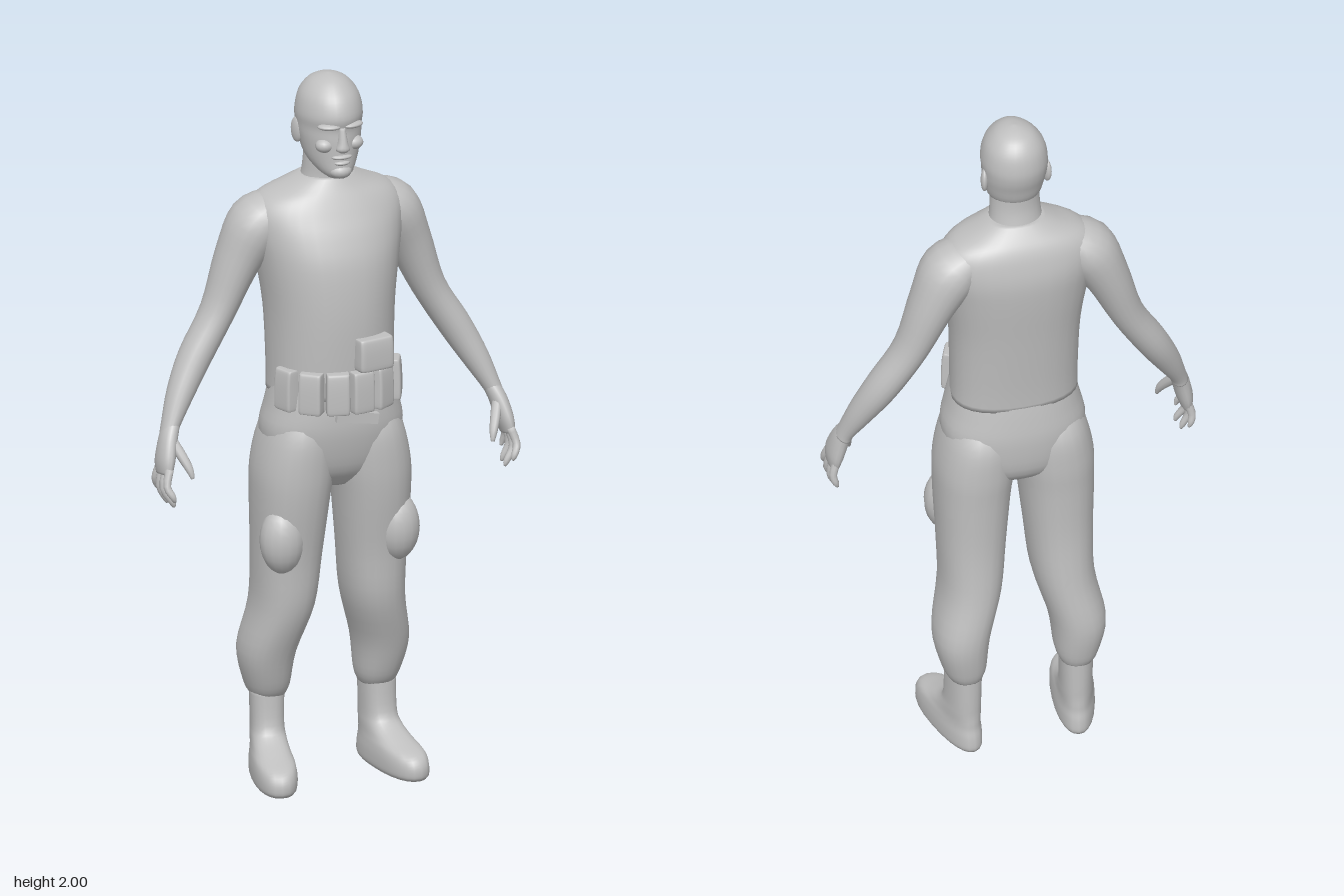
import * as THREE from 'three';

const grey = new THREE.MeshStandardMaterial({ color: 0xc0c0c0 });
grey.name = 'plain grey';

// Smoothly resample rows of numbers
function smoothRows(rows, steps) {
  const out = [];
  const at = i => rows[Math.max(0, Math.min(rows.length - 1, i))];
  for (let i = 0; i < rows.length - 1; i++) {
    for (let s = 0; s < steps; s++) {
      const t = s / steps;
      out.push(rows[i].map((b, k) => {
        const a = at(i - 1)[k], c = at(i + 1)[k], d = at(i + 2)[k];
        return b + 0.5 * t * (c - a + t * (2 * a - 5 * b + 4 * c - d + t * (3 * (b - c) + d - a)));
      }));
    }
  }
  out.push(rows[rows.length - 1]);
  return out;
}

// Closed skin over rings of { c: centre, t: direction, a: side radius, b: depth radius }
function skin(rings, { sides = 24, power = 2, taper = 0 } = {}) {
  const pos = [], idx = [], n = sides;
  const round = s => Math.sign(s) * Math.pow(Math.abs(s), 2 / power);
  for (const { c, t, a, b } of rings) {
    const v = new THREE.Vector3(0, 0, 1).addScaledVector(t, -t.z).normalize();
    const u = t.clone().cross(v);
    for (let j = 0; j < n; j++) {
      const th = (j / n) * Math.PI * 2, s = round(Math.sin(th));
      const p = c.clone().addScaledVector(u, a * round(Math.cos(th)) * (1 - taper * s)).addScaledVector(v, b * s);
      pos.push(p.x, p.y, p.z);
    }
  }
  const last = rings.length - 1;
  for (let i = 0; i < last; i++) {
    for (let j = 0; j < n; j++) {
      const a = i * n + j, b = i * n + (j + 1) % n;
      idx.push(a, a + n, b, b, a + n, b + n);
    }
  }
  const first = rings[0].c, end = rings[last].c, m = rings.length * n;
  pos.push(first.x, first.y, first.z, end.x, end.y, end.z);
  for (let j = 0; j < n; j++) {
    const k = (j + 1) % n;
    idx.push(m, j, k, m + 1, last * n + k, last * n + j);
  }
  const g = new THREE.BufferGeometry();
  g.setAttribute('position', new THREE.Float32BufferAttribute(pos, 3));
  g.setIndex(idx);
  g.computeVertexNormals();
  return g;
}

// Level slices: [y, half width, back z, front z, centre x]
function slices(rows, options) {
  const up = new THREE.Vector3(0, 1, 0);
  return skin(smoothRows(rows, 4).map(([y, w, zb, zf, x = 0]) => ({
    c: new THREE.Vector3(x, y, (zb + zf) / 2), t: up, a: w, b: (zf - zb) / 2,
  })), options);
}

// Limb along a path: [x, y, z, side radius, depth radius], mirrored by side
function limb(rows, side, sides = 16, steps = 4) {
  const r = smoothRows(rows, steps);
  const pts = r.map(p => new THREE.Vector3(p[0] * side, p[1], p[2]));
  return skin(r.map((p, i) => ({
    c: pts[i], a: p[3], b: p[4],
    t: pts[Math.min(i + 1, pts.length - 1)].clone().sub(pts[Math.max(i - 1, 0)]).normalize(),
  })), { sides });
}

export function createModel() {
  const model = new THREE.Group();
  model.name = 'standingMan';
  const add = (name, geometry, parent = model) => {
    const mesh = new THREE.Mesh(geometry, grey);
    mesh.name = name;
    parent.add(mesh);
    return mesh;
  };
  const blob = (name, p, r) => {
    const mesh = add(name, new THREE.SphereGeometry(1, 16, 12));
    mesh.position.set(...p);
    mesh.scale.set(...r);
    return mesh;
  };

  // Torso with sloping shoulders
  add('torso', slices([
    [1.115, 0.172, -0.142, 0.135], [1.2, 0.172, -0.148, 0.142], [1.35, 0.177, -0.163, 0.146],
    [1.48, 0.195, -0.178, 0.135], [1.56, 0.21, -0.182, 0.11], [1.62, 0.213, -0.172, 0.08],
    [1.66, 0.185, -0.157, 0.058], [1.69, 0.12, -0.135, 0.04], [1.715, 0.07, -0.11, 0.025],
  ], { sides: 32, power: 2.3, taper: 0.12 }));

  // Neck and head
  add('neck', slices([
    [1.64, 0.09, -0.13, 0.03], [1.71, 0.073, -0.11, 0.022], [1.76, 0.068, -0.1, 0.025], [1.82, 0.065, -0.1, 0.03],
  ]));
  add('head', slices([
    [1.728, 0.028, 0.015, 0.07], [1.745, 0.05, -0.04, 0.081], [1.78, 0.072, -0.095, 0.08],
    [1.83, 0.084, -0.115, 0.08], [1.865, 0.088, -0.126, 0.079], [1.9, 0.09, -0.129, 0.086],
    [1.945, 0.08, -0.12, 0.07], [1.978, 0.056, -0.097, 0.038], [1.994, 0.028, -0.066, 0.008], [2.0, 0.004, -0.035, -0.027],
  ], { sides: 28, taper: 0.1 }));

  // Face
  add('nose', slices([
    [1.805, 0.009, 0.06, 0.088], [1.815, 0.02, 0.06, 0.1], [1.835, 0.014, 0.06, 0.097], [1.875, 0.009, 0.06, 0.084],
  ], { sides: 12 }));
  blob('chin', [0, 1.748, 0.06], [0.032, 0.022, 0.028]);
  blob('upperLip', [0, 1.791, 0.07], [0.03, 0.008, 0.018]);
  blob('lowerLip', [0, 1.774, 0.069], [0.024, 0.008, 0.018]);
  for (const s of [1, -1]) {
    blob('brow', [s * 0.034, 1.878, 0.066], [0.032, 0.009, 0.02]).rotation.y = s * 0.35;
    blob('cheek', [s * 0.042, 1.822, 0.052], [0.026, 0.02, 0.024]);
    blob('ear', [s * 0.086, 1.842, -0.045], [0.011, 0.036, 0.023]).rotation.y = s * -0.3;
  }

  // Hips
  add('hips', slices([
    [0.845, 0.05, -0.09, 0.05], [0.9, 0.165, -0.145, 0.1], [1.0, 0.197, -0.158, 0.128],
    [1.08, 0.183, -0.15, 0.132], [1.16, 0.165, -0.135, 0.125],
  ], { sides: 32, power: 2.3 }));

  for (const s of [1, -1]) {
    // Baggy trouser leg, gathered above the boot
    add('trouserLeg', slices([
      [0.225, 0.045, -0.15, -0.035, 0.155], [0.26, 0.06, -0.163, -0.012, 0.158], [0.36, 0.076, -0.176, 0.022, 0.162],
      [0.5, 0.083, -0.161, 0.068, 0.13], [0.65, 0.092, -0.15, 0.085, 0.122], [0.8, 0.102, -0.153, 0.11, 0.117],
      [0.9, 0.107, -0.158, 0.12, 0.11], [1.0, 0.095, -0.15, 0.118, 0.1], [1.08, 0.07, -0.1, 0.09, 0.09],
    ].map(([y, w, b, f, x]) => [y, w, b, f, x * s]), { power: 2.25 }));
    blob('kneePad', [s * 0.165, 0.71, 0.055], [0.062, 0.095, 0.058]);

    // Boot, toes turned out
    const boot = add('boot', slices([
      [0.003, 0.05, -0.065, 0.24], [0.015, 0.057, -0.071, 0.25], [0.045, 0.058, -0.068, 0.248],
      [0.07, 0.055, -0.062, 0.225], [0.09, 0.05, -0.06, 0.16], [0.115, 0.047, -0.058, 0.1],
      [0.15, 0.045, -0.058, 0.072], [0.25, 0.047, -0.058, 0.063],
    ], { power: 2.3, taper: -0.1 }));
    boot.position.set(s * 0.157, 0, -0.093);
    boot.rotation.y = s * 0.17;

    // Arm down to the wrist
    add('arm', limb([
      [0.13, 1.63, -0.07, 0.045, 0.07], [0.19, 1.58, -0.072, 0.078, 0.09], [0.245, 1.48, -0.078, 0.063, 0.076],
      [0.303, 1.34, -0.075, 0.047, 0.058], [0.375, 1.22, -0.06, 0.045, 0.052], [0.425, 1.13, -0.036, 0.037, 0.042],
      [0.461, 1.055, -0.012, 0.025, 0.032], [0.47, 1.03, -0.005, 0.023, 0.032],
    ], s, 20));

    // Hand with four fingers and a thumb
    const hand = new THREE.Group();
    hand.name = 'hand';
    model.add(hand);
    add('palm', limb([
      [0.457, 1.06, -0.013, 0.022, 0.028], [0.474, 1.02, 0.003, 0.024, 0.037],
      [0.488, 0.965, 0.018, 0.023, 0.048], [0.493, 0.93, 0.025, 0.016, 0.046],
    ], s), hand);
    const tips = [[0.485, 0.868, 0.088], [0.475, 0.842, 0.054], [0.48, 0.843, 0.015], [0.492, 0.873, -0.023]];
    tips.forEach(([x, y, z], i) => {
      const z0 = 0.058 - i * 0.023;
      add('finger', limb([
        [0.49, 0.95, z0, 0.012, 0.012], [0.502, (y + 0.95) / 2, (z0 + z) / 2, 0.011, 0.011],
        [x + 0.006, y + 0.015, z, 0.009, 0.009], [x, y, z, 0.004, 0.004],
      ], s, 10, 3), hand);
    });
    add('thumb', limb([
      [0.468, 1.02, 0.015, 0.014, 0.016], [0.452, 0.985, 0.045, 0.014, 0.015],
      [0.437, 0.95, 0.07, 0.011, 0.011], [0.431, 0.925, 0.08, 0.005, 0.005],
    ], s, 10, 3), hand);
  }

  // Belt pouches around the front of the waist
  const pouch = (name, w, h, d, x, y, z, turn) => {
    const mesh = add(name, slices([
      [-h / 2, w * 0.44, -d / 2, d * 0.4], [-h * 0.42, w * 0.5, -d / 2, d / 2], [h * 0.1, w * 0.5, -d / 2, d * 0.5],
      [h * 0.44, w * 0.49, -d / 2, d * 0.42], [h / 2, w * 0.46, -d / 2, d * 0.3],
    ], { sides: 24, power: 7 }));
    mesh.position.set(x, y, z);
    mesh.rotation.y = turn;
  };
  for (const deg of [-70, -40, -14, 10, 35, 66]) {
    const a = deg * Math.PI / 180;
    pouch('beltPouch', 0.064, 0.115, 0.045, Math.sin(a) * 0.163, 1.143, 0.015 + Math.cos(a) * 0.137, a);
  }
  pouch('upperPouch', 0.105, 0.09, 0.05, 0.065, 1.247, 0.145, 0.2);

  // Belt end hanging below the pouches
  const strap = add('beltEnd', new THREE.BoxGeometry(0.12, 0.03, 0.02));
  strap.position.set(0.02, 1.065, 0.135);
  strap.rotation.z = -0.15;

  return model;
}
